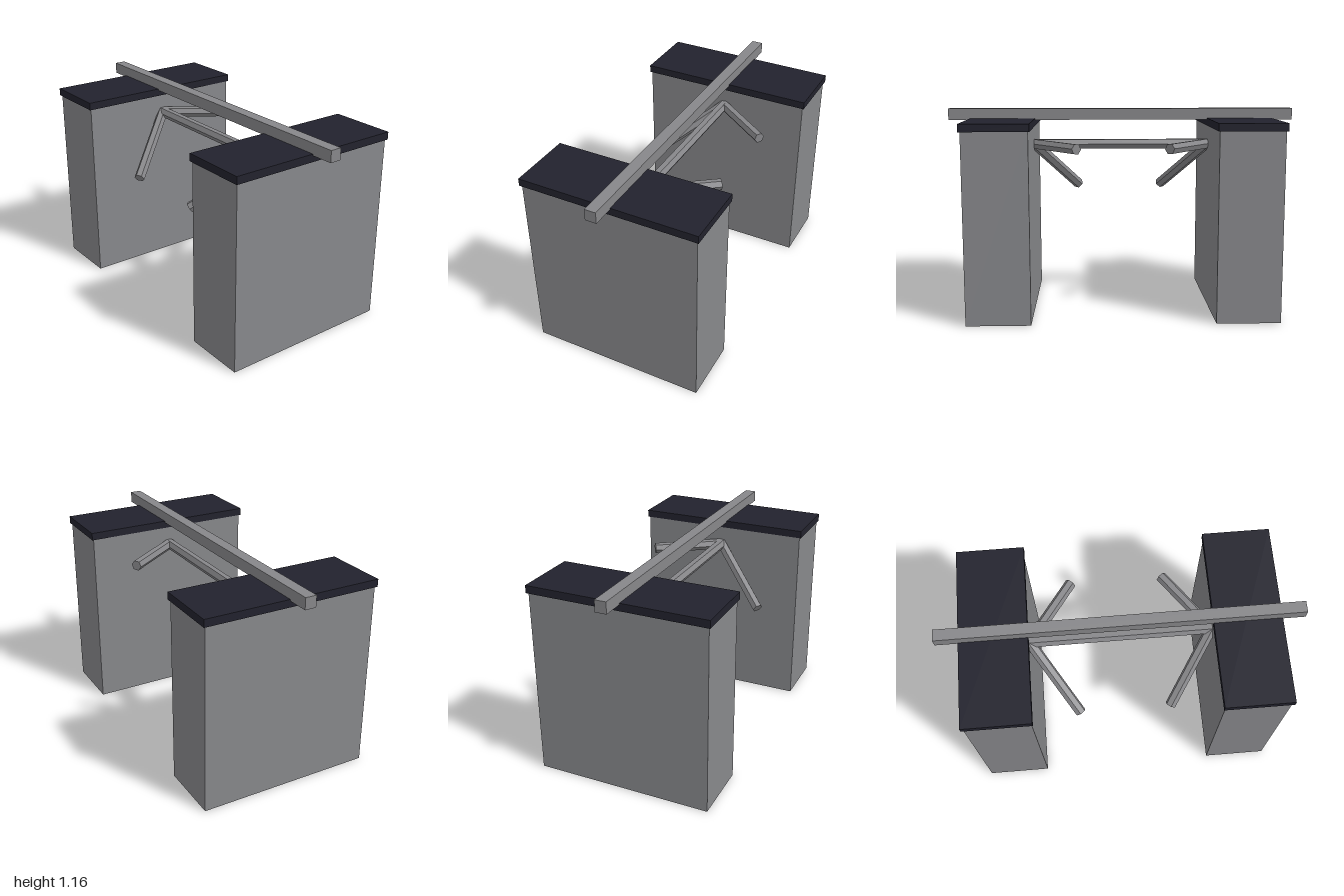
import * as THREE from 'three';

export function createModel() {
  const group = new THREE.Group();
  const stone = new THREE.MeshStandardMaterial({ name: 'stone grey', color: 0x87888b });
  const dark = new THREE.MeshStandardMaterial({ name: 'dark slate', color: 0x22222d });
  const metal = new THREE.MeshStandardMaterial({ name: 'metal grey', color: 0x87878a });

  function add(name, geometry, material, x, y, z) {
    const mesh = new THREE.Mesh(geometry, material);
    mesh.name = name;
    mesh.position.set(x, y, z);
    group.add(mesh);
    return mesh;
  }

  // Six-sided bar between two points
  function bar(name, from, to) {
    const a = new THREE.Vector3(...from);
    const b = new THREE.Vector3(...to);
    const dir = b.clone().sub(a);
    // non-indexed with recomputed normals gives flat facets
    const geometry = new THREE.CylinderGeometry(0.031, 0.031, dir.length(), 6).toNonIndexed();
    geometry.computeVertexNormals();
    const mid = a.add(b).multiplyScalar(0.5);
    const mesh = add(name, geometry, metal, mid.x, mid.y, mid.z);
    mesh.quaternion.setFromUnitVectors(new THREE.Vector3(0, 1, 0), dir.normalize());
  }

  for (const [side, s] of [['left', 1], ['right', -1]]) {
    // Pillars and their overhanging caps
    add(side + 'Pillar', new THREE.BoxGeometry(0.357, 1.07, 1), stone, s * 0.687, 0.535, 0);
    add(side + 'Cap', new THREE.BoxGeometry(0.375, 0.043, 1.02), dark, s * 0.688, 1.079, 0);

    // Front struts slope down, rear struts run level
    bar(side + 'FrontStrut', [s * 0.505, 0.949, 0], [s * 0.257, 0.668, 0.34]);
    bar(side + 'RearStrut', [s * 0.505, 0.949, 0], [s * 0.257, 0.949, -0.34]);
  }

  // Long top beam and lower crossbar
  add('topBeam', new THREE.BoxGeometry(2, 0.065, 0.064), metal, 0, 1.1245, 0);
  bar('crossbar', [-0.51, 0.949, 0], [0.51, 0.949, 0]);

  return group;
}
